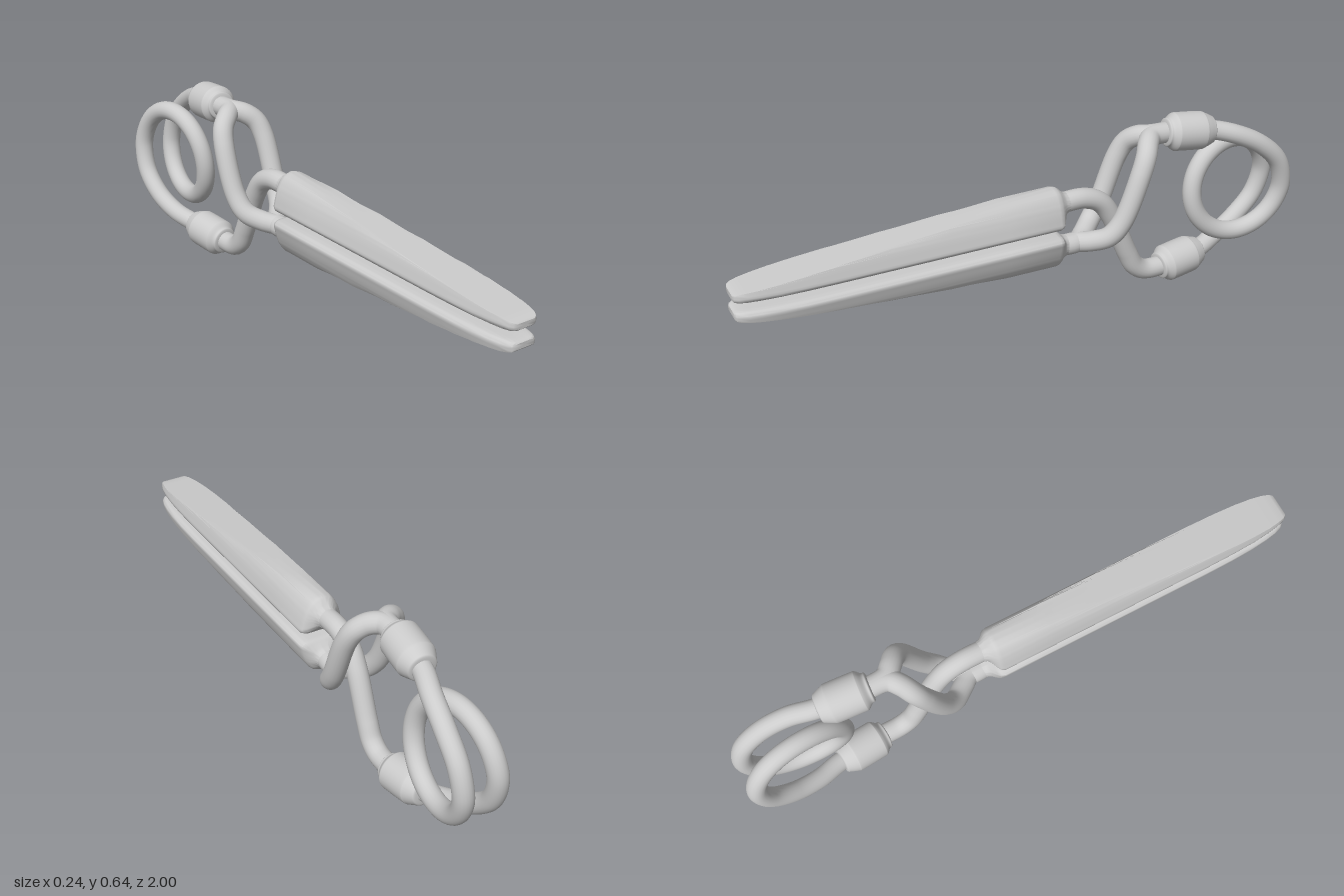
import * as THREE from 'three';
import { toCreasedNormals } from 'three/addons/utils/BufferGeometryUtils.js';

const MID_Y = 0.32;   // height of the axis the two halves turn about
const WIRE = 0.035;
const V = (p) => new THREE.Vector3(...p);

export function createModel() {
  const model = new THREE.Group();
  const mat = new THREE.MeshStandardMaterial({ color: 0xcccccc });

  const add = (name, geometry, parent = model) => {
    const mesh = new THREE.Mesh(geometry, mat);
    mesh.name = name;
    parent.add(mesh);
    return mesh;
  };
  const wire = (name, points, radius = WIRE, segments = 64) =>
    add(name, new THREE.TubeGeometry(new THREE.CatmullRomCurve3(points), segments, radius, 20));

  // half turn about the long axis: maps the upper half onto the lower half
  const turned = (mesh) => {
    mesh.rotation.z = Math.PI;
    mesh.position.y = 2 * MID_Y;
    return mesh;
  };

  // jaws
  const jaw = jawGeometry();
  add('upperJaw', jaw);
  turned(add('lowerJaw', jaw));

  // single wire from the upper jaw down to the lower collar
  wire('straightArm', [
    [0, 0.4, -0.115], [0, 0.4, -0.2], [0, 0.375, -0.262], [0, 0.315, -0.308], [0, 0.155, -0.378],
    [0, 0.095, -0.41], [0, 0.068, -0.45], [0, 0.064, -0.53],
  ].map(V));

  // split wire from the lower jaw: two mirrored branches forming an eye
  for (const [side, name] of [[1, 'eyeArmLeft'], [-1, 'eyeArmRight']]) {
    wire(name, [
      [0, 0.24, -0.115], [0, 0.24, -0.18], [0.03, 0.248, -0.22], [0.068, 0.272, -0.267],
      [0.082, 0.325, -0.308], [0.082, 0.49, -0.375], [0.067, 0.54, -0.4], [0.035, 0.568, -0.425],
      [0.006, 0.576, -0.455], [0, 0.576, -0.53],
    ].map(([x, y, z]) => new THREE.Vector3(x * side, y, z)));
  }

  // collars joining the arms to the spring
  const collar = new THREE.LatheGeometry(new THREE.SplineCurve([
    [0.033, 0], [0.047, 0.004], [0.05, 0.014], [0.063, 0.03], [0.065, 0.045], [0.065, 0.125],
    [0.062, 0.14], [0.051, 0.165], [0.045, 0.175], [0.03, 0.178],
  ].map(([r, y]) => new THREE.Vector2(r, y))).getPoints(40), 32);
  const start = new THREE.Vector3(0, 0.577, -0.508);
  const axis = new THREE.Vector3(0.018, 0.56, -0.685).sub(start).normalize();
  for (const name of ['upperCollar', 'lowerCollar']) {
    const holder = new THREE.Group();
    holder.name = name;
    const mesh = add(name + 'Body', collar, holder);
    mesh.position.copy(start);
    mesh.quaternion.setFromUnitVectors(new THREE.Vector3(0, 1, 0), axis);
    if (name === 'lowerCollar') turned(holder);
    model.add(holder);
  }

  // spring: lead-in arc, one full coil, then the same arc turned over
  const lead = [
    [0.01, 0.566, -0.62], [0.022, 0.558, -0.69], [0.047, 0.535, -0.77],
    [0.063, 0.487, -0.86], [0.066, 0.412, -0.935],
  ].map(V);
  const coil = [];
  for (let i = 0; i <= 16; i++) {
    const a = (i / 16) * Math.PI * 2;
    coil.push(new THREE.Vector3(
      0.06 * (1 - i / 8), MID_Y - 0.165 * Math.sin(a), -0.797 - 0.165 * Math.cos(a)));
  }
  const leadOut = lead.map((p) => new THREE.Vector3(-p.x, 2 * MID_Y - p.y, p.z)).reverse();
  wire('springCoil', [...lead, ...coil, ...leadOut], 0.033, 240);

  return model;
}

// Upper jaw: a bell section cut by a sloping flat top, blended into a round neck
function jawGeometry() {
  const half = new THREE.SplineCurve([
    [0, 0], [0.055, 0], [0.071, 0.005], [0.078, 0.015], [0.075, 0.03],
    [0.067, 0.06], [0.055, 0.09], [0.034, 0.118], [0, 0.13],
  ].map(([x, y]) => new THREE.Vector2(x, y))).getSpacedPoints(32);
  const ring = [...half, ...half.slice(1, -1).reverse().map((p) => new THREE.Vector2(-p.x, p.y))];

  // z, width scale, height scale, blend to the neck circle
  const sections = [
    [1, 0.45, 0.55, 0], [0.996, 0.56, 0.8, 0], [0.985, 0.66, 0.94, 0], [0.96, 0.76, 1, 0],
    [0.92, 0.85, 1, 0], [0.86, 0.93, 1, 0], [0.78, 0.98, 1, 0], [0.68, 1, 1, 0],
    [0.5, 1, 1, 0], [0.3, 1, 1, 0], [0.1, 1, 1, 0], [-0.085, 1, 1, 0],
    [-0.098, 0.98, 1, 0.08], [-0.107, 0.95, 1, 0.3], [-0.118, 0.95, 1, 0.7],
    [-0.128, 1, 1, 0.93], [-0.14, 1, 1, 1],
  ];
  const pos = [];
  const index = [];
  const n = ring.length;
  const neckY = 0.065;
  for (const [z, sx, sy, blend] of sections) {
    const top = Math.min(0.13, 0.033 + (1 - z) * 0.089);
    for (const p of ring) {
      const x = p.x * sx;
      const y = 0.016 + (Math.min(p.y, top) - 0.016) * sy;
      const k = WIRE / Math.hypot(p.x, p.y - neckY);
      pos.push(
        THREE.MathUtils.lerp(x, p.x * k, blend),
        0.335 + THREE.MathUtils.lerp(y, neckY + (p.y - neckY) * k, blend), z);
    }
  }
  for (let s = 0; s < sections.length - 1; s++) {
    for (let i = 0; i < n; i++) {
      const a = s * n + i, b = s * n + ((i + 1) % n);
      index.push(a, a + n, b, b, a + n, b + n);
    }
  }
  // tip cap
  pos.push(0, 0.351, 1.0);
  for (let i = 0; i < n; i++) index.push(sections.length * n, i, (i + 1) % n);

  const geometry = new THREE.BufferGeometry();
  geometry.setAttribute('position', new THREE.Float32BufferAttribute(pos, 3));
  geometry.setIndex(index);
  return toCreasedNormals(geometry, 0.6);
}
